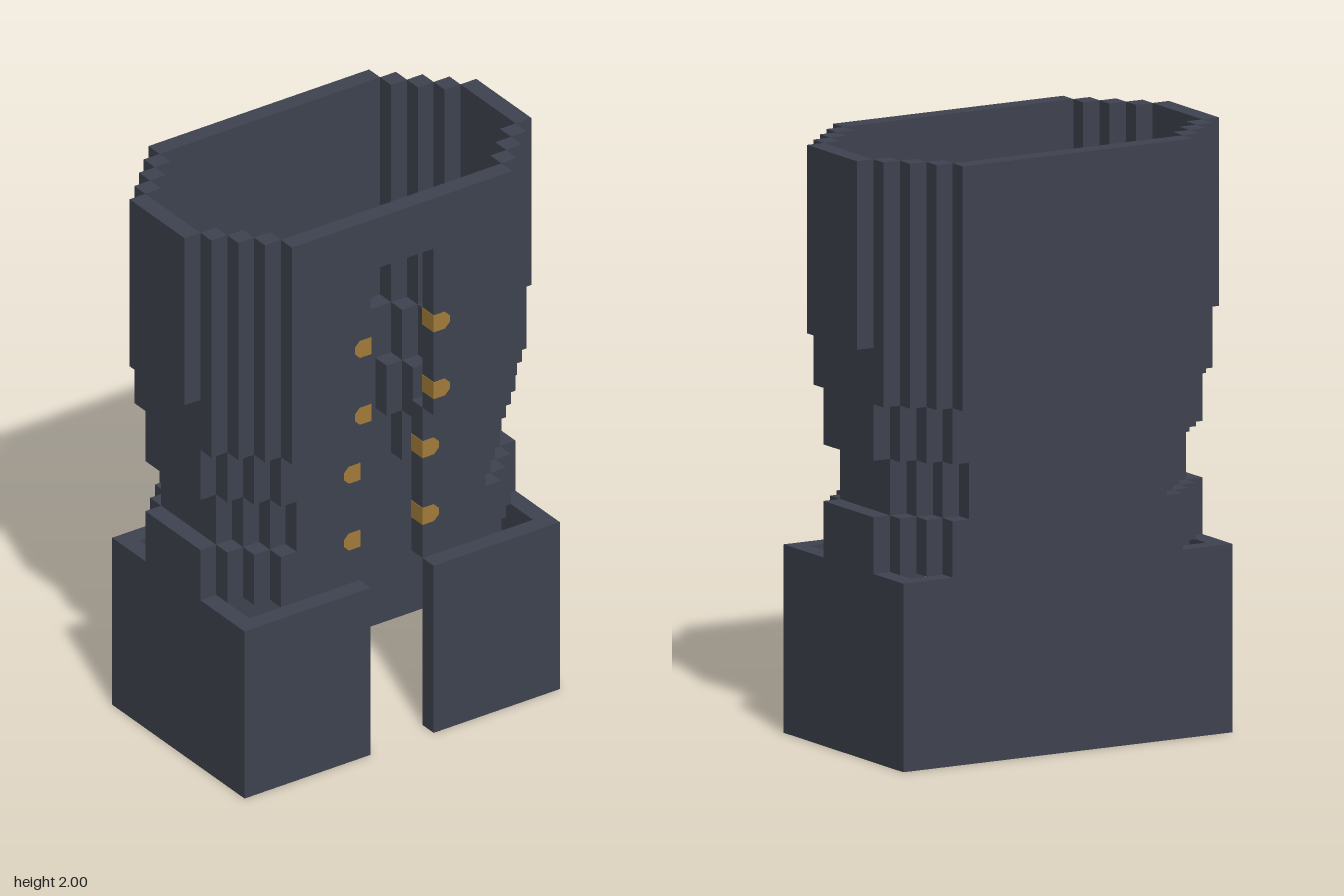
import * as THREE from 'three';

const U = 0.0625; // one block

export function createModel() {
  const model = new THREE.Group();
  model.name = 'steppedTower';
  const slate = new THREE.MeshStandardMaterial({ color: 0x3f4350 });
  slate.name = 'darkSlate';
  const brass = new THREE.MeshStandardMaterial({ color: 0xa47c3a });
  brass.name = 'brass';

  // Box between two corners, measured in blocks
  function block(parent, name, x0, x1, y0, y1, z0, z1) {
    const geo = new THREE.BoxGeometry((x1 - x0) * U, (y1 - y0) * U, (z1 - z0) * U);
    const mesh = new THREE.Mesh(geo, slate);
    mesh.name = name;
    mesh.position.set((x0 + x1) * U / 2, (y0 + y1) * U / 2, (z0 + z1) * U / 2);
    parent.add(mesh);
  }

  // The same box on both sides of x = 0
  function pair(parent, name, x0, x1, y0, y1, z0, z1) {
    block(parent, name + 'Left', x0, x1, y0, y1, z0, z1);
    block(parent, name + 'Right', -x1, -x0, y0, y1, z0, z1);
  }

  // Hollow ring with stepped corners; the front is open along the slot
  function ring(name, y0, y1, halfX, outerZ, steps, sideY0, sideY1) {
    const g = new THREE.Group();
    g.name = name;
    block(g, 'backPanel', -halfX, halfX, y0, y1, -outerZ, -outerZ + 1);
    pair(g, 'frontPanel', 2, halfX, y0, y1, outerZ - 1, outerZ);
    for (let i = 1; i <= steps; i++) {
      const x = halfX + i, z = outerZ - i;
      pair(g, 'frontCornerStep', x - 1, x, y0, y1, z - 1, z);
      pair(g, 'backCornerStep', x - 1, x, y0, y1, -z, 1 - z);
    }
    const sx = halfX + steps;
    pair(g, 'sidePanel', sx, sx + 1, sideY0, sideY1, -2.5, 2.5);
    model.add(g);
    return g;
  }

  // Square base, open above and below
  const base = new THREE.Group();
  base.name = 'base';
  block(base, 'backWall', -10, 10, 0, 10, -5.5, -4.5);
  pair(base, 'sideWall', 9, 10, 0, 10, -4.5, 5.5);
  pair(base, 'frontWall', 2, 10, 0, 10, 5.5, 6.5);
  model.add(base);

  // Waist with its recessed band, then the wider upper body
  ring('lowerWaist', 10, 13, 7, 5.5, 2, 10, 13);
  ring('waistBand', 13, 16, 6, 5.5, 2, 13, 16);
  ring('upperWaist', 16, 19, 7, 5.5, 2, 16, 22);
  const upper = ring('upperBody', 19, 32, 7, 6.5, 3, 22, 32);
  block(upper, 'slotLintel', -2, 2, 29, 32, 5.5, 6.5);

  // Buttons set through the wall beside the slot, outer corners clipped
  const e = 0.03, c = 0.3;
  const outline = new THREE.Shape([
    [-e, -0.5], [1 - c, -0.5], [1, -0.5 + c], [1, 0.5 - c], [1 - c, 0.5], [-e, 0.5],
  ].map(([x, y]) => new THREE.Vector2(x * U, y * U)));
  const buttonGeo = new THREE.ExtrudeGeometry(outline, { depth: (1 + 2 * e) * U, bevelEnabled: false });
  buttonGeo.translate(0, 0, -(0.5 + e) * U);
  for (const [y, z] of [[12.5, 5], [16.5, 5], [20.5, 6], [24.5, 6]]) {
    for (const side of [1, -1]) {
      const button = new THREE.Mesh(buttonGeo, brass);
      button.name = side > 0 ? 'buttonLeft' : 'buttonRight';
      button.position.set(side * 2 * U, y * U, z * U);
      if (side < 0) button.rotation.y = Math.PI;
      model.add(button);
    }
  }
  return model;
}
